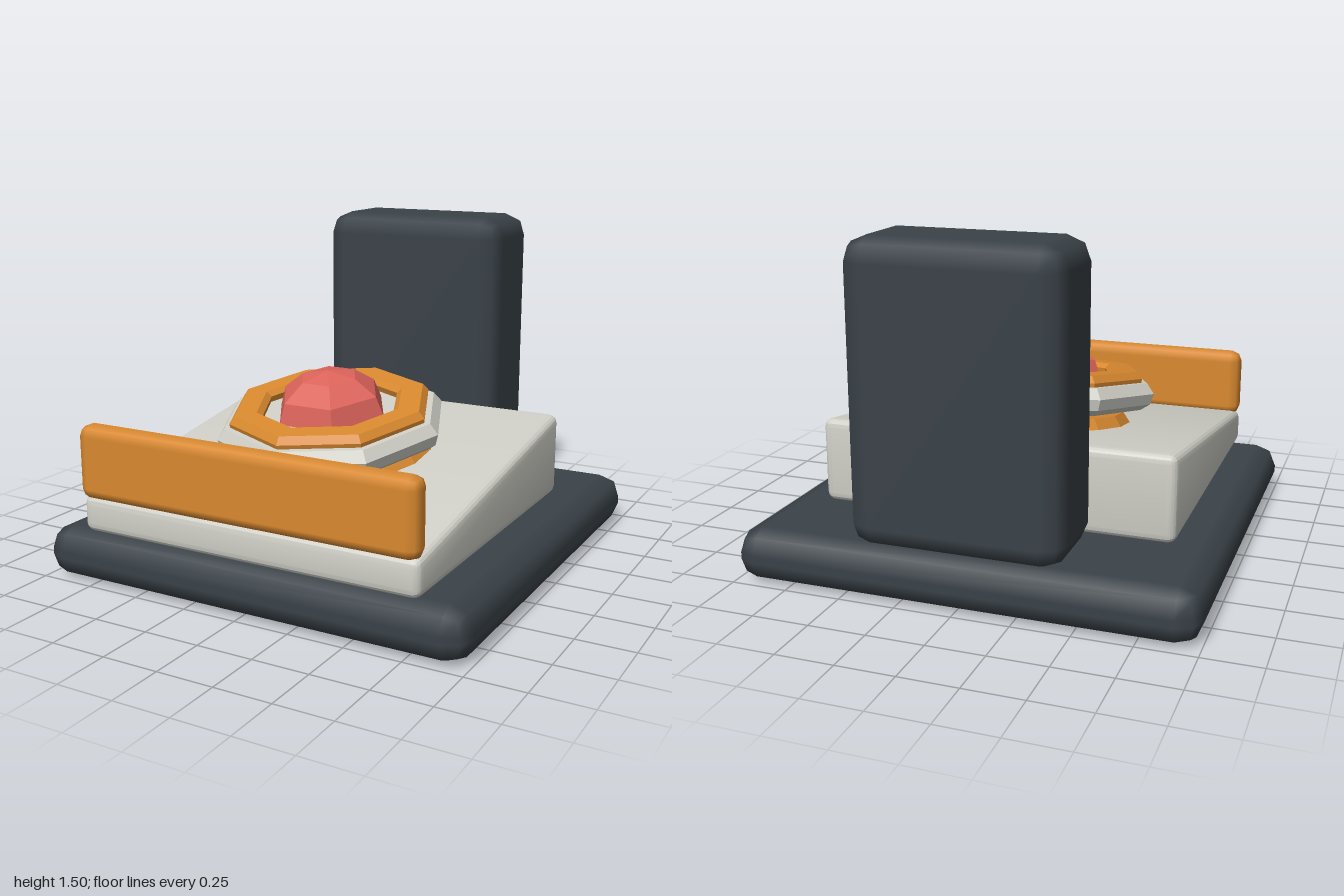
import * as THREE from 'three';
import { toCreasedNormals } from 'three/addons/utils/BufferGeometryUtils.js';
import { RoundedBoxGeometry } from 'three/addons/geometries/RoundedBoxGeometry.js';

const colour = (name, color) => {
  const m = new THREE.MeshStandardMaterial({ color });
  m.name = name;
  return m;
};

export function createModel() {
  const dark = colour('charcoal', 0x3a4248);
  const light = colour('lightGrey', 0xd0d0c8);
  const orange = colour('orange', 0xd9892f);
  const red = colour('coralRed', 0xdb635a);

  const model = new THREE.Group();
  const TILT = 0.147;

  function add(parent, name, geometry, material, x = 0, y = 0, z = 0) {
    const mesh = new THREE.Mesh(geometry, material);
    mesh.name = name;
    mesh.position.set(x, y, z);
    parent.add(mesh);
    return mesh;
  }

  // Softly bevelled box given by its minimum and maximum corners
  function block(name, material, [x0, y0, z0], [x1, y1, z1], radius) {
    const geo = new RoundedBoxGeometry(x1 - x0, y1 - y0, z1 - z0, 1, radius);
    return add(model, name, geo, material, (x0 + x1) / 2, (y0 + y1) / 2, (z0 + z1) / 2);
  }

  // Faceted solid turned from a profile that runs upward on its outer side
  function turned(points, sides, start = 0) {
    const geo = new THREE.LatheGeometry(points.map(p => new THREE.Vector2(...p)), sides, start);
    return toCreasedNormals(geo, 0.2);
  }

  // Group lying parallel to the sloping deck
  function tilted(name, y, z) {
    const g = new THREE.Group();
    g.name = name;
    g.position.set(0, y, z);
    g.rotation.x = TILT;
    model.add(g);
    return g;
  }

  block('basePlate', dark, [-1, 0, -1], [1, 0.23, 1], 0.1);
  block('rearTower', dark, [-0.46, 0.23, -1], [0.46, 1.5, -0.54], 0.1);
  block('frontBar', orange, [-0.8, 0.38, 0.868], [0.8, 0.71, 0.984], 0.05);

  // Sloping deck: a box whose upper half is sheared up toward the back
  const deck = new RoundedBoxGeometry(1.6, 0.275, 1.5, 2, 0.04);
  const pos = deck.attributes.position;
  for (let i = 0; i < pos.count; i++) {
    if (pos.getY(i) > 0) pos.setY(i, pos.getY(i) - Math.tan(TILT) * pos.getZ(i));
  }
  add(model, 'slopingDeck', toCreasedNormals(deck, 0.3), light, 0, 0.3675, 0.21);

  // Low collar on the deck
  const collar = tilted('collar', 0.515, 0.115);
  add(collar, 'collarRing', turned(
    [[0, -0.05], [0.43, -0.05], [0.42, 0], [0.385, 0.05], [0, 0.05]], 16, Math.PI / 16), orange);

  // Octagonal disc with a raised ring
  const dial = tilted('dial', 0.637, 0.2);
  add(dial, 'dialDisc', turned(
    [[0, -0.065], [0.46, -0.065], [0.505, -0.035], [0.52, 0.015], [0.485, 0.062], [0, 0.062]], 8), light);
  add(dial, 'dialRing', turned(
    [[0.32, 0.05], [0.455, 0.05], [0.46, 0.08], [0.435, 0.112], [0.335, 0.112],
      [0.31, 0.09], [0.32, 0.05]], 8), orange);

  // Six-sided domed button
  const button = tilted('button', 0.69, 0.205);
  const dome = new THREE.SphereGeometry(0.265, 6, 6);
  dome.scale(1, 0.74, 1);
  add(button, 'buttonDome', toCreasedNormals(dome, 0.2), red);

  return model;
}
